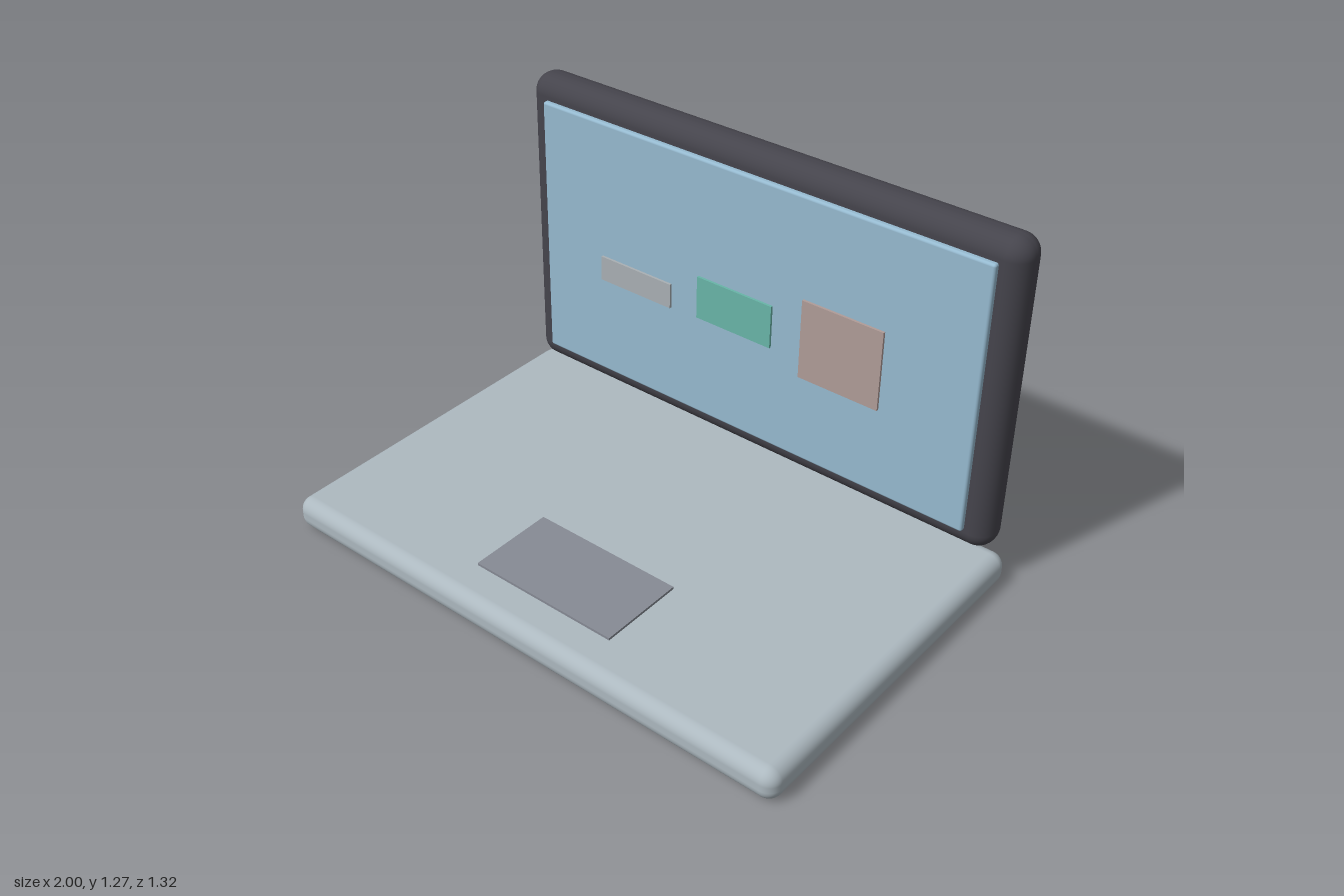
import * as THREE from 'three';
import { RoundedBoxGeometry } from 'three/addons/geometries/RoundedBoxGeometry.js';

const material = (name, color) => {
  const m = new THREE.MeshStandardMaterial({ color });
  m.name = name;
  return m;
};

export function createModel() {
  const laptop = new THREE.Group();
  laptop.name = 'laptop';

  const silver = material('silver', 0xadb9c0);
  const charcoal = material('charcoal', 0x45444c);
  const skyBlue = material('sky blue', 0x96bad0);
  const slate = material('slate', 0x878b95);
  const grey = material('grey', 0xa9b0b4);
  const green = material('green', 0x69b5a8);
  const clay = material('clay', 0xb09c98);

  // Box given by its extents on each axis; a radius rounds its edges
  const addBox = (name, mat, [x0, x1], [y0, y1], [z0, z1], radius = 0) => {
    const size = [x1 - x0, y1 - y0, z1 - z0];
    const geometry = radius
      ? new RoundedBoxGeometry(...size, 5, radius)
      : new THREE.BoxGeometry(...size);
    const mesh = new THREE.Mesh(geometry, mat);
    mesh.name = name;
    mesh.position.set((x0 + x1) / 2, (y0 + y1) / 2, (z0 + z1) / 2);
    laptop.add(mesh);
  };

  // Keyboard base and touchpad
  addBox('base', silver, [-1, 1], [0, 0.117], [-0.63, 0.66], 0.048);
  addBox('touchpad', slate, [-0.278, 0.278], [0.115, 0.126], [0.207, 0.517]);

  // Upright lid with a raised display
  addBox('lid', charcoal, [-0.967, 0.967], [0.14, 1.274], [-0.66, -0.52], 0.066);
  addBox('screen', skyBlue, [-0.884, 0.884], [0.217, 1.197], [-0.526, -0.501], 0.009);

  // Thin tiles on the display
  const tiles = [
    ['greyTile', grey, [-0.62, -0.31], [0.597, 0.69]],
    ['greenTile', green, [-0.194, 0.113], [0.606, 0.765]],
    ['clayTile', clay, [0.232, 0.541], [0.543, 0.836]],
  ];
  for (const [name, mat, x, y] of tiles) addBox(name, mat, x, y, [-0.501, -0.492]);

  return laptop;
}
